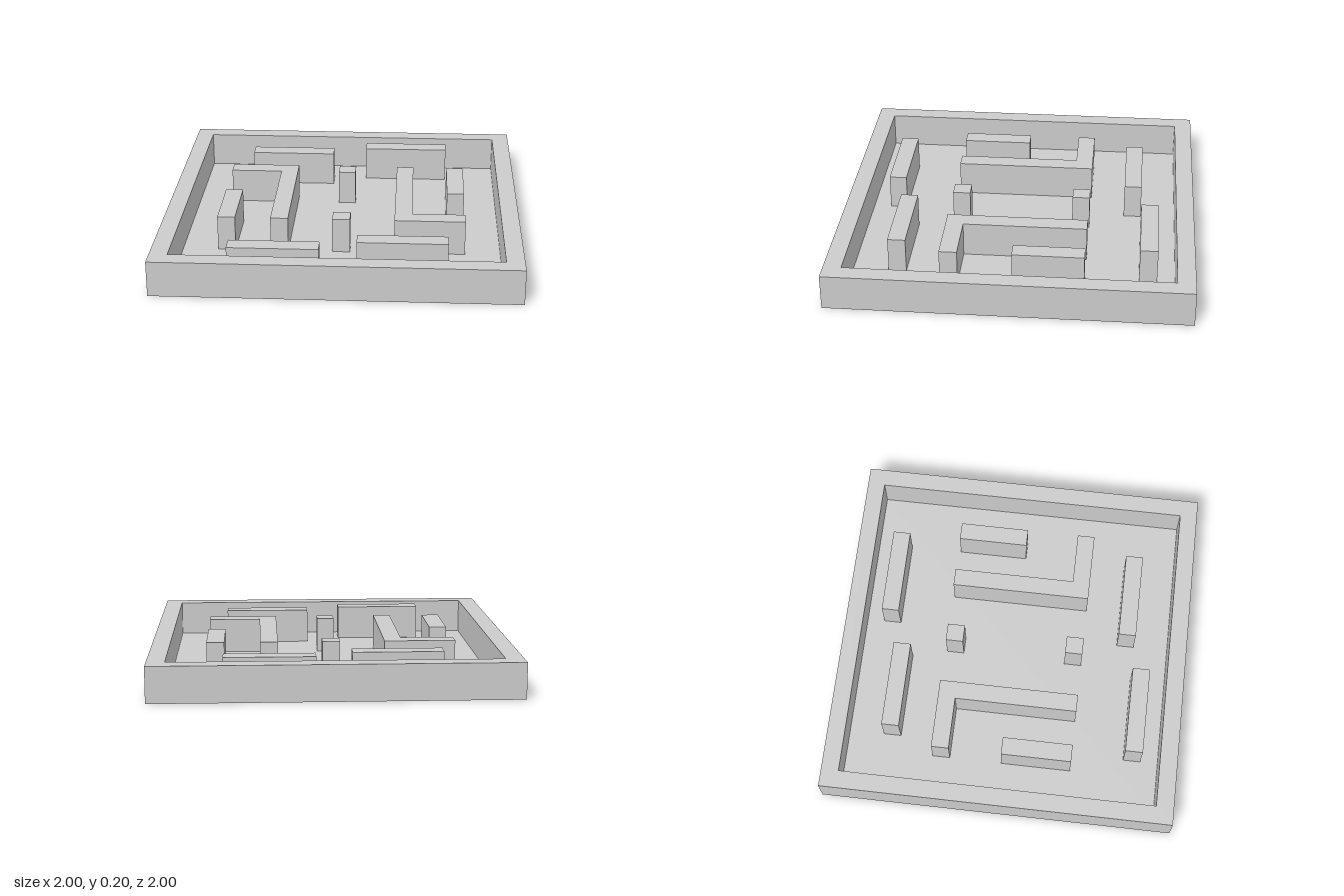
import * as THREE from 'three';

const HEIGHT = 0.2;

export function createModel() {
  const model = new THREE.Group();
  model.name = 'mazeTray';
  const material = new THREE.MeshStandardMaterial({ color: 0xcccccc, flatShading: true });

  // Plan outline given as [x, z] corners
  const outline = (corners) => corners.map(([x, z]) => new THREE.Vector2(x, -z));
  const square = (r) => outline([[-r, -r], [-r, r], [r, r], [r, -r]]);

  // Upright wall raised from a plan outline
  const addWall = (parent, name, points, hole) => {
    const shape = new THREE.Shape(points);
    if (hole) shape.holes.push(new THREE.Path(hole));
    const geometry = new THREE.ExtrudeGeometry(shape, { depth: HEIGHT, bevelEnabled: false });
    geometry.rotateX(-Math.PI / 2);
    const mesh = new THREE.Mesh(geometry, material);
    mesh.name = name;
    parent.add(mesh);
  };

  // Thin floor
  const floorMaterial = material.clone();
  floorMaterial.side = THREE.DoubleSide;
  const floor = new THREE.Mesh(new THREE.PlaneGeometry(1.8, 1.8).rotateX(-Math.PI / 2), floorMaterial);
  floor.name = 'floor';
  model.add(floor);

  // Outer frame
  addWall(model, 'outerWall', square(1), square(0.9));

  // Straight walls of one half: name, x min, x max, z min, z max
  const bars = [
    ['innerBar', -0.6, -0.1, -0.7, -0.6],
    ['outerBar', 0.1, 0.6, -0.8, -0.7],
    ['sideBar', -0.7, -0.6, 0, 0.4],
    ['post', -0.05, 0.05, -0.4, -0.3],
  ];

  // The layout repeats after a half turn
  for (let i = 0; i < 2; i++) {
    const half = new THREE.Group();
    half.name = i ? 'turnedWalls' : 'walls';
    half.rotation.y = i * Math.PI;
    for (const [name, x0, x1, z0, z1] of bars) {
      addWall(half, name, outline([[x0, z0], [x0, z1], [x1, z1], [x1, z0]]));
    }
    addWall(half, 'cornerWall', outline([
      [-0.7, -0.4], [-0.7, -0.3], [-0.4, -0.3], [-0.4, 0.4], [-0.3, 0.4], [-0.3, -0.4],
    ]));
    model.add(half);
  }
  return model;
}
